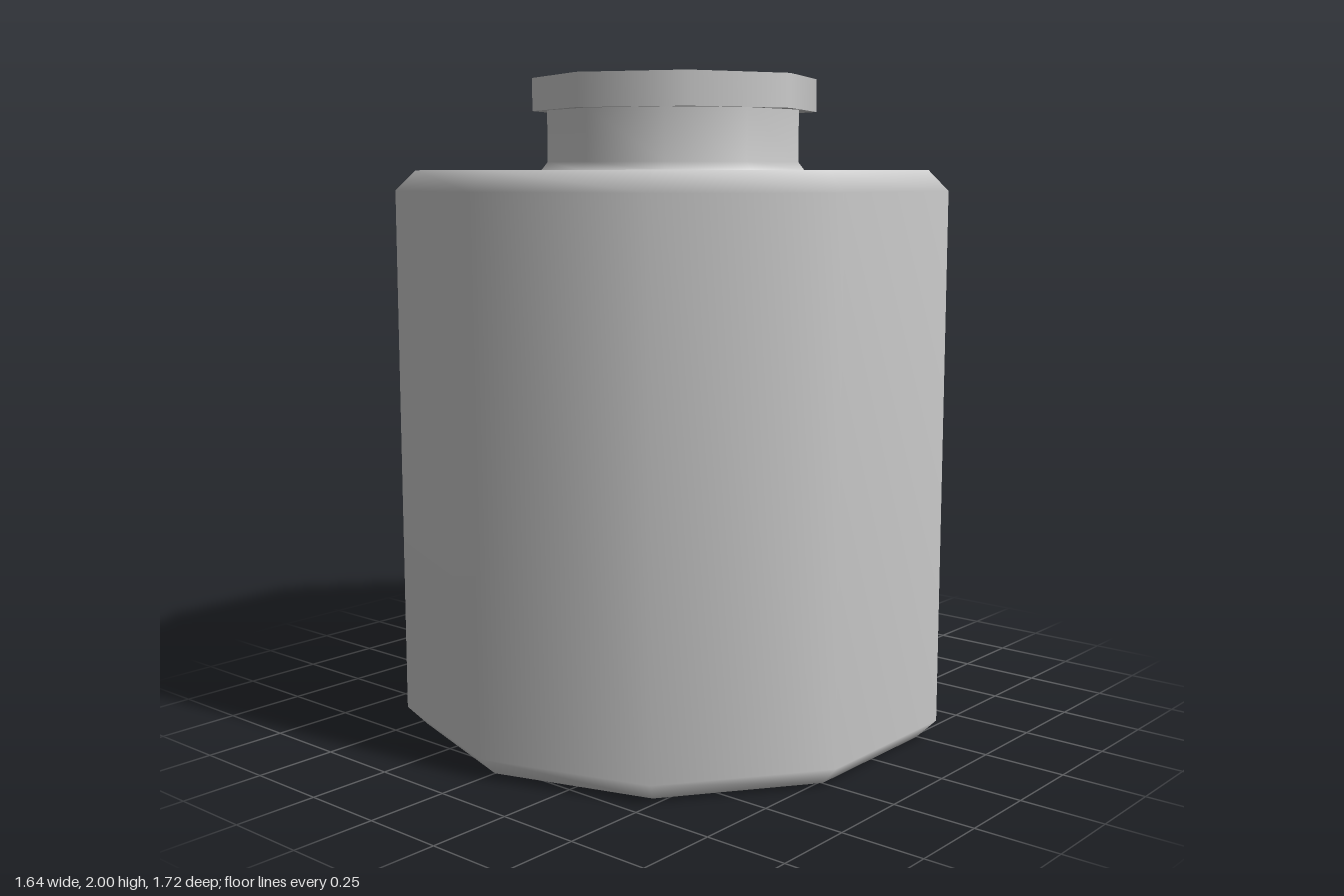
import * as THREE from 'three';

const material = new THREE.MeshStandardMaterial({ color: 0xcccccc });

// Turns a profile, listed as [radius, y] from bottom to top, around the y axis.
// Each lathe is smooth along its profile; separate lathes meet at a sharp edge.
function turned(name, profile, sides) {
  const points = profile.map(([r, y]) => new THREE.Vector2(r, y));
  const mesh = new THREE.Mesh(new THREE.LatheGeometry(points, sides), material);
  mesh.name = name;
  return mesh;
}

export function createModel() {
  const group = new THREE.Group();
  group.name = 'bottle';

  const bodySides = 10;
  const capSides = 8;
  const height = 1.72; // shoulder height
  const bevel = 0.06;
  const radius = 0.86;
  const rim = radius - bevel;

  // Body: flat base, smooth wall with bevelled ends, flat shoulder
  group.add(
    turned('bodyBase', [[0, 0], [rim, 0]], bodySides),
    turned('bodyWall', [[rim, 0], [radius, bevel], [radius, height - bevel], [rim, height]], bodySides),
    turned('shoulder', [[rim, height], [0.42, height]], bodySides),
  );

  // Neck with a small flare where it meets the shoulder
  group.add(turned('neck', [[0.42, height], [0.4, height + 0.025], [0.4, 1.9]], bodySides));

  // Overhanging octagonal lid
  group.add(
    turned('lidUnderside', [[0, 1.9], [0.44, 1.9]], capSides),
    turned('lidRim', [[0.44, 1.9], [0.44, 2]], capSides),
    turned('lidTop', [[0.44, 2], [0, 2]], capSides),
  );

  return group;
}
